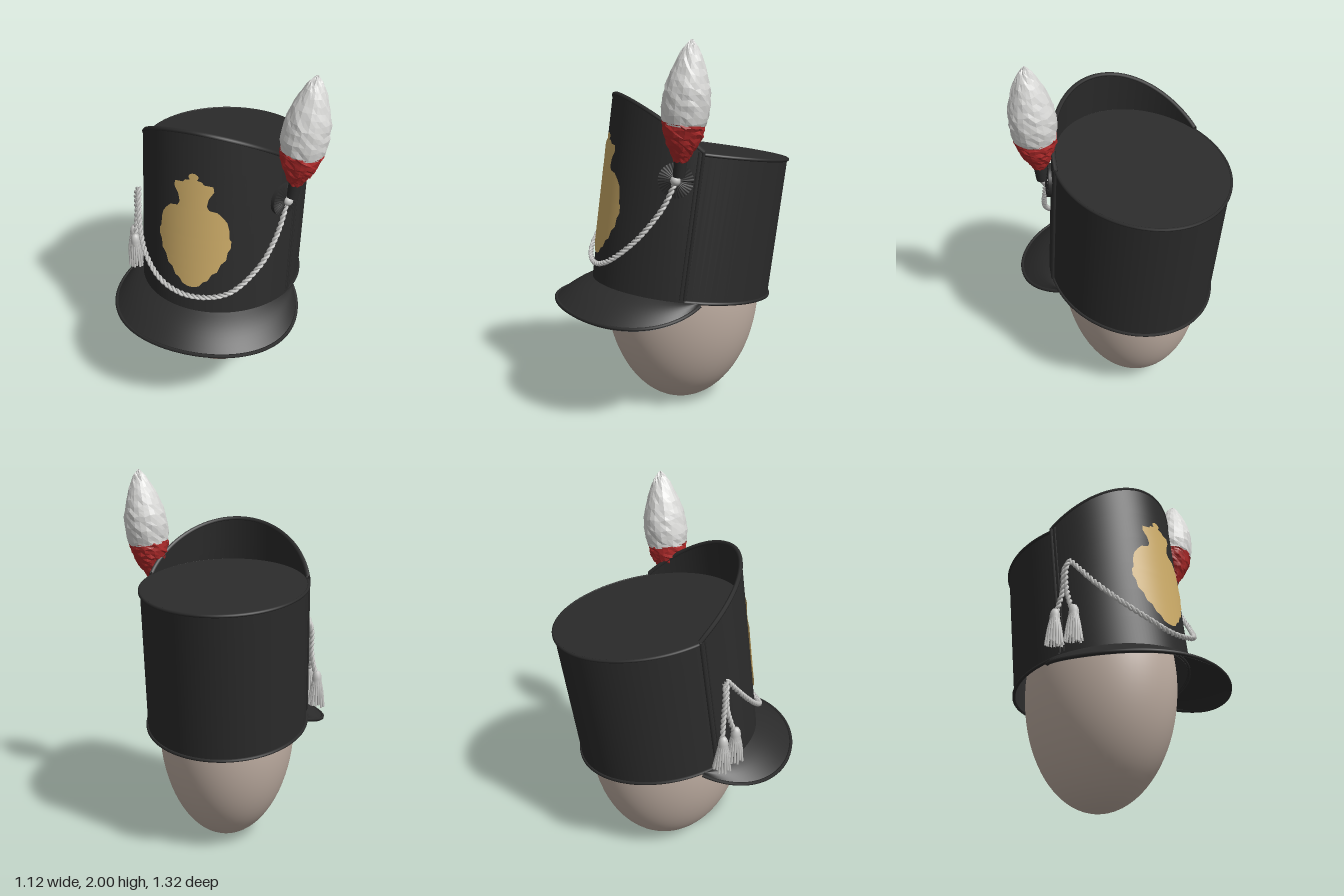
import * as THREE from 'three';

const V = (x, y, z) => new THREE.Vector3(x, y, z);
const mat = (name, color, double) => {
  const m = new THREE.MeshStandardMaterial({ color });
  m.name = name;
  if (double) m.side = THREE.DoubleSide;
  return m;
};

// Hat frame: an elliptical cylinder leaning backwards
const RX = 0.433, RZ = 0.496, CROWN = 0.78, EDGE = 1.3;
const HAT_POS = V(-0.033, 0.66, -0.055), TILT = -0.132;
const wall = (a, y, off = 0) => V((RX + off) * Math.sin(a), y, (RZ + off) * Math.cos(a));
const toWorld = p => p.applyAxisAngle(V(1, 0, 0), TILT).add(HAT_POS);

// Height of the raised front plate at angle a from the front
const plateTop = a => {
  const k = (Math.cos(a) - Math.cos(EDGE)) / (1 - Math.cos(EDGE));
  return 0.785 + 0.225 * Math.pow(Math.max(k, 0), 0.95);
};

// Grid surface from fn(u, v)
function sheet(fn, nu, nv) {
  const pos = [], idx = [];
  for (let j = 0; j <= nv; j++)
    for (let i = 0; i <= nu; i++) pos.push(...fn(i / nu, j / nv).toArray());
  for (let j = 0; j < nv; j++)
    for (let i = 0; i < nu; i++) {
      const a = j * (nu + 1) + i, b = a + nu + 1;
      idx.push(a, a + 1, b, a + 1, b + 1, b);
    }
  const g = new THREE.BufferGeometry();
  g.setAttribute('position', new THREE.Float32BufferAttribute(pos, 3));
  g.setIndex(idx);
  g.computeVertexNormals();
  return g;
}

const tube = (pts, r, seg, closed = false) =>
  new THREE.TubeGeometry(new THREE.CatmullRomCurve3(pts, closed), seg, r, 6, closed);

const range = (n, fn) => Array.from({ length: n + 1 }, (_, i) => fn(i / n));

// Repeatable noise in 0..1
const noise = (i, j) => {
  const s = Math.sin(i * 127.1 + j * 311.7) * 43758.5453;
  return s - Math.floor(s);
};

// Faceted, ruffled body of revolution for the feathers
function feathers(profile, rows, rough) {
  const N = 24;
  const pts = new THREE.SplineCurve(profile.map(p => new THREE.Vector2(...p))).getPoints(rows);
  const g = new THREE.LatheGeometry(pts.map(p => p.set(Math.max(p.x, 0), p.y)), N);
  const p = g.attributes.position;
  for (let k = 0; k < p.count; k++) {
    const i = Math.floor(k / (rows + 1)) % N, j = k % (rows + 1);
    const s = 1 + rough * (noise(i, j) - 0.5);
    const dy = j && j < rows ? 0.012 * (noise(i + 50, j) - 0.5) : 0;
    p.setXYZ(k, p.getX(k) * s, p.getY(k) + dy, p.getZ(k) * s);
  }
  const flat = g.toNonIndexed();
  flat.computeVertexNormals();
  return flat;
}

export function createModel() {
  const model = new THREE.Group();
  const black = mat('black felt', 0x2b2b2b, true);
  const skin = mat('head form', 0xc2b1a5);
  const gold = mat('gold', 0xcdac68, true);
  const red = mat('red feather', 0xb02a2a, true);
  const white = mat('white feather', 0xdcdcda, true);
  const silver = mat('silver cord', 0xc4c4c2);

  const add = (parent, name, geo, material, x = 0, y = 0, z = 0) => {
    const m = new THREE.Mesh(geo, material);
    m.name = name;
    m.position.set(x, y, z);
    parent.add(m);
    return m;
  };

  // Egg-shaped head form
  add(model, 'head', new THREE.SphereGeometry(1, 64, 40), skin, -0.033, 0.65, -0.06).scale.set(0.37, 0.65, 0.436);

  // Crown
  const hat = new THREE.Group();
  hat.name = 'hat';
  hat.position.copy(HAT_POS);
  hat.rotation.x = TILT;
  model.add(hat);
  add(hat, 'crown', new THREE.CylinderGeometry(1, 1, CROWN, 96, 1, true), black, 0, CROWN / 2, 0).scale.set(RX, 1, RZ);
  const lid = add(hat, 'crownTop', new THREE.CircleGeometry(1, 96), black, 0, CROWN - 0.002, 0);
  lid.rotation.x = -Math.PI / 2;
  lid.scale.set(RX, RZ, 1);
  for (const [name, y] of [['topRim', CROWN - 0.008], ['bottomRim', 0.01]])
    add(hat, name, tube(range(47, t => wall(t * Math.PI * 2 * 47 / 48, y, 0.002)), 0.009, 120, true), black);

  // Raised front plate, two skins thick, with piping round its edge
  for (const [name, off] of [['frontPlate', 0.012], ['frontPlateBack', -0.003]])
    add(hat, name, sheet((u, v) => {
      const a = (u * 2 - 1) * EDGE;
      return wall(a, v * plateTop(a), off);
    }, 64, 6), black);
  add(hat, 'plateTopPiping', tube(range(40, t => {
    const a = (t * 2 - 1) * EDGE;
    return wall(a, plateTop(a), 0.005);
  }), 0.012, 90), black);
  for (const s of [-1, 1])
    for (const [k, d] of [[0, 0], [1, 0.045]])
      add(hat, 'plateSidePiping', tube([wall(s * (EDGE - d), 0.02, 0.01), wall(s * (EDGE - d), 0.785, 0.01)], 0.009 - 0.003 * k, 2), black);

  // Visor: lofted from the crown's foot to a drooping outer ellipse
  const visorEdge = t => {
    const z = 0.22 + 0.43 * Math.cos(t);
    return V(-0.033 + 0.51 * Math.sin(t), 0.593 + 0.42 * (z - 0.4) ** 2, z);
  };
  const SWEEP = 2.12;
  for (const [name, drop] of [['visor', 0], ['visorUnderside', 0.012]])
    add(model, name, sheet((u, v) => {
      const t = (u * 2 - 1) * SWEEP;
      const p = visorEdge(t).lerp(toWorld(wall(t * 1.46 / SWEEP, 0.008, 0.01)), v);
      p.y -= drop * (1 - v) - 0.012 * Math.sin(v * Math.PI);
      return p;
    }, 72, 8), black);
  add(model, 'visorEdge', tube(range(40, t => visorEdge((t * 2 - 1) * SWEEP)), 0.01, 100), black);

  // Badge: half-widths by height, wrapped round the plate
  const outline = [[0.882, 0.015], [0.892, 0.045], [0.92, 0.065], [0.932, 0.09], [0.97, 0.108], [0.985, 0.135],
    [1.03, 0.15], [1.055, 0.175], [1.1, 0.18], [1.125, 0.194], [1.165, 0.194], [1.18, 0.184], [1.23, 0.182],
    [1.27, 0.172], [1.3, 0.152], [1.328, 0.125], [1.338, 0.085], [1.36, 0.072], [1.4, 0.08], [1.44, 0.105],
    [1.468, 0.1], [1.474, 0.055], [1.488, 0.045], [1.493, 0.018], [1.505, 0.026], [1.518, 0.024], [1.527, 0.008]];
  add(hat, 'badge', sheet((u, v) => {
    const [y, w] = outline[Math.round(v * (outline.length - 1))];
    const p = wall(Math.asin((u * 2 - 1) * w / (RX + 0.02)), 0, 0.02);
    p.y = (y - HAT_POS.y + p.z * Math.sin(TILT)) / Math.cos(TILT);
    return p;
  }, 16, outline.length - 1), gold);

  // Pleated rosette with a silver button
  const rosette = new THREE.Group();
  rosette.name = 'rosette';
  rosette.position.copy(wall(1.06, 0.63, 0.016));
  rosette.rotation.y = 1.12;
  hat.add(rosette);
  add(rosette, 'rosettePleats', sheet((u, v) => {
    const a = u * Math.PI * 2, r = 0.09 - 0.078 * v;
    return V(r * Math.cos(a), r * Math.sin(a), 0.01 + 0.01 * v + (Math.round(u * 64) % 2) * 0.008);
  }, 64, 1), black);
  add(rosette, 'rosetteBase', new THREE.CylinderGeometry(0.088, 0.088, 0.02, 32), black).rotation.x = Math.PI / 2;
  add(rosette, 'rosetteButton', new THREE.SphereGeometry(0.026, 16, 12), silver, 0, 0, 0.028);

  // Plume in its socket
  const plume = new THREE.Group();
  plume.name = 'plume';
  plume.position.set(0.402, 1.34, 0.11);
  plume.rotation.set(-0.06, 0, -0.115);
  model.add(plume);
  add(plume, 'plumeSocket', new THREE.CylinderGeometry(0.034, 0.03, 0.09, 20), black, 0, 0.045, 0);
  add(plume, 'plumeBase', feathers([[0.03, 0.075], [0.05, 0.11], [0.078, 0.165], [0.1, 0.22], [0.108, 0.275]], 14, 0.1), red);
  add(plume, 'plumeTop', feathers([[0.106, 0.265], [0.117, 0.33], [0.116, 0.4], [0.102, 0.47], [0.075, 0.55],
    [0.04, 0.62], [0.015, 0.652], [0, 0.667]], 18, 0.06), white);

  // Twisted two-strand cord
  function rope(name, pts) {
    const curve = new THREE.CatmullRomCurve3(pts), len = curve.getLength();
    const n = Math.ceil(len / 0.008), f = curve.computeFrenetFrames(n);
    for (const phase of [0, Math.PI]) {
      const strand = range(n, t => {
        const i = Math.round(t * n), a = phase + t * len / 0.06 * Math.PI * 2;
        return curve.getPointAt(t)
          .addScaledVector(f.normals[i], 0.0075 * Math.cos(a))
          .addScaledVector(f.binormals[i], 0.0075 * Math.sin(a));
      });
      add(model, name, tube(strand, 0.008, n), silver);
    }
  }
  rope('drapedCord', [V(0.378, 1.31, 0.12), V(0.365, 1.2, 0.17), V(0.35, 1.13, 0.215), V(0.3, 1.01, 0.305), V(0.17, 0.88, 0.42),
    V(-0.033, 0.83, 0.45), V(-0.195, 0.865, 0.425), V(-0.32, 0.95, 0.345), V(-0.395, 1.06, 0.245), V(-0.45, 1.21, 0.12)]);
  rope('hangingCord', [V(-0.45, 1.21, 0.12), V(-0.468, 1.17, 0.115), V(-0.472, 1.05, 0.12), V(-0.47, 0.9, 0.165)]);
  rope('hangingCord', [V(-0.452, 1.2, 0.11), V(-0.474, 1.15, 0.105), V(-0.478, 1.02, 0.1), V(-0.505, 0.89, 0.085)]);

  // Tassels: knob, collar and a skirt of strands
  for (const [x, y, z] of [[-0.466, 0.9, 0.175], [-0.512, 0.89, 0.088]]) {
    const tassel = new THREE.Group();
    tassel.name = 'tassel';
    tassel.position.set(x, y, z);
    model.add(tassel);
    const profile = [[0, 0.028], [0.014, 0.024], [0.023, 0.008], [0.027, -0.015], [0.024, -0.035], [0.03, -0.05], [0.032, -0.09], [0, -0.1]];
    add(tassel, 'tasselKnob', new THREE.LatheGeometry(profile.reverse().map(p => new THREE.Vector2(...p)), 18), silver);
    for (let i = 0; i < 16; i++) {
      const a = i / 16 * Math.PI * 2, r = 0.036 + 0.012 * noise(i, 3), end = -0.155 - 0.025 * noise(i, 7);
      add(tassel, 'tasselStrand', tube([V(0.02 * Math.cos(a), -0.03, 0.02 * Math.sin(a)),
        V(0.032 * Math.cos(a), -0.09, 0.032 * Math.sin(a)), V(r * Math.cos(a), end, r * Math.sin(a))], 0.007, 6), silver);
    }
  }
  return model;
}
